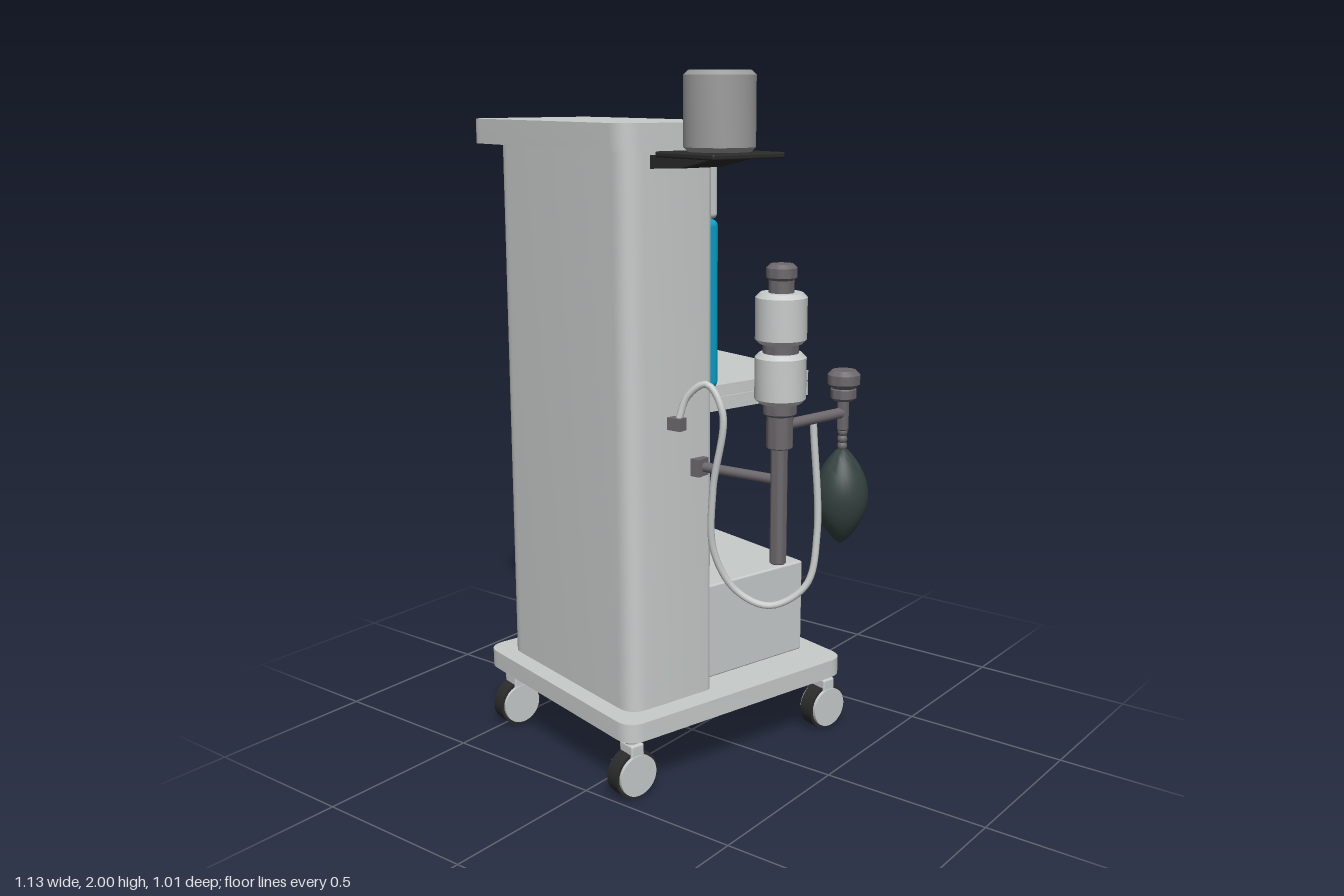
import * as THREE from 'three';
import { toCreasedNormals } from 'three/addons/utils/BufferGeometryUtils.js';
import { RoundedBoxGeometry } from 'three/addons/geometries/RoundedBoxGeometry.js';

const mat = (name, color) => Object.assign(new THREE.MeshStandardMaterial({ color }), { name });

export function createModel() {
  const M = {
    body: mat('light grey casing', 0xc8cccb),
    metal: mat('mid grey metal', 0x9c9c9c),
    pole: mat('dark grey metal', 0x6c686c),
    black: mat('black plastic', 0x2b2b2b),
    cyan: mat('cyan panel', 0x0a9fc8),
    green: mat('dark green rubber', 0x34423f),
  };
  const model = new THREE.Group();
  model.name = 'medicalCart';
  // The cart stands turned a little; its accessories are placed in the outer frame
  const cart = new THREE.Group();
  cart.name = 'cart';
  cart.rotation.y = -0.25;
  model.add(cart);

  const add = (parent, name, geo, material, x = 0, y = 0, z = 0) => {
    const mesh = new THREE.Mesh(geo, material);
    mesh.name = name;
    mesh.position.set(x, y, z);
    parent.add(mesh);
    return mesh;
  };
  // Box from minimum and maximum bounds, optionally rounded
  const box = (parent, name, material, [x0, x1], [y0, y1], [z0, z1], r = 0) => {
    const s = [x1 - x0, y1 - y0, z1 - z0];
    const geo = r ? new RoundedBoxGeometry(...s, 3, r) : new THREE.BoxGeometry(...s);
    return add(parent, name, geo, material, (x0 + x1) / 2, (y0 + y1) / 2, (z0 + z1) / 2);
  };
  // Upright prism with rounded plan corners; points are [x, z, radius]
  const prism = (name, material, pts, y0, y1) => {
    const shape = new THREE.Shape();
    pts.forEach(([x, z, r], i) => {
      const p = new THREE.Vector2(x, -z);
      const toward = (q) => new THREE.Vector2(q[0], -q[1]).sub(p).setLength(r).add(p);
      const a = toward(pts[(i + pts.length - 1) % pts.length]);
      const b = toward(pts[(i + 1) % pts.length]);
      if (i) shape.lineTo(a.x, a.y); else shape.moveTo(a.x, a.y);
      if (r) shape.quadraticCurveTo(p.x, p.y, b.x, b.y);
    });
    shape.closePath();
    const geo = new THREE.ExtrudeGeometry(shape, { depth: y1 - y0, bevelEnabled: false, curveSegments: 8 });
    geo.rotateX(-Math.PI / 2);
    return add(cart, name, toCreasedNormals(geo, 0.6), material, 0, y0, 0);
  };
  const slab = (name, [x0, x1], [y0, y1], [z0, z1], r) =>
    prism(name, M.body, [[x0, z0, r], [x1, z0, r], [x1, z1, r], [x0, z1, r]], y0, y1);
  // Turned part from [radius, y] pairs, sharp at steep angles
  const turned = (parent, name, material, pts, x, z) => {
    const geo = new THREE.LatheGeometry(pts.map(([r, y]) => new THREE.Vector2(r, y)), 32);
    return add(parent, name, toCreasedNormals(geo, 0.6), material, x, 0, z);
  };
  const drum = (parent, name, material, r, y0, y1, x, z, c = 0.008) =>
    turned(parent, name, material, [[0, y0], [r - c, y0], [r, y0 + c], [r, y1 - c], [r - c, y1], [0, y1]], x, z);
  const rod = (parent, name, material, from, to, r) => {
    const a = new THREE.Vector3(...from), b = new THREE.Vector3(...to);
    const mesh = add(parent, name, new THREE.CylinderGeometry(r, r, a.distanceTo(b), 16), material);
    mesh.position.copy(a).add(b).multiplyScalar(0.5);
    mesh.quaternion.setFromUnitVectors(new THREE.Vector3(0, 1, 0), b.sub(a).normalize());
    return mesh;
  };

  // Base, column with a recessed working side, and top
  slab('base', [-0.48, 0.28], [0.185, 0.24], [-0.38, 0.445], 0.06);
  slab('topPlate', [-0.48, 0.28], [1.8, 1.87], [0.035, 0.445], 0.06);
  prism('column', M.body, [
    [-0.425, 0.39, 0.06], [0.215, 0.39, 0.06], [0.215, 0.095, 0.025], [0.18, 0.095, 0.008],
    [0.18, 0.15, 0], [-0.385, 0.15, 0], [-0.385, 0.095, 0.008], [-0.425, 0.095, 0.025],
  ], 0.24, 1.8);

  // Shelf and drawer unit
  slab('shelfTray', [-0.36, 0.155], [1.055, 1.095], [-0.325, 0.15], 0.008);
  slab('shelfTop', [-0.355, 0.15], [1.095, 1.1], [-0.32, 0.15], 0.008);
  slab('shelfLid', [-0.36, 0.155], [1.1, 1.13], [-0.325, 0.15], 0.008);
  box(cart, 'drawerUnit', M.body, [-0.35, 0.15], [0.24, 0.53], [-0.316, 0.15], 0.006);
  box(cart, 'drawerHandleRecess', M.pole, [-0.175, -0.025], [0.32, 0.36], [-0.319, -0.315]);
  box(cart, 'drawerHandle', M.body, [-0.169, -0.031], [0.326, 0.354], [-0.322, -0.318]);

  // Control unit with screen and knobs, and the panel below it
  box(cart, 'controlUnit', M.body, [-0.38, 0.185], [1.605, 1.8], [0.052, 0.16], 0.015);
  box(cart, 'screen', M.cyan, [-0.11, 0.09], [1.625, 1.775], [0.048, 0.054]);
  for (const x of [-0.19, -0.295]) {
    const knob = add(cart, 'knob', new THREE.CylinderGeometry(0.03, 0.03, 0.012, 24), M.metal, x, 1.69, 0.049);
    knob.rotation.x = Math.PI / 2;
  }
  box(cart, 'cyanPanel', M.cyan, [0.0, 0.19], [1.13, 1.605], [0.05, 0.16], 0.02);

  // Canister standing on the shelf
  const cx = -0.258, cz = 0.08;
  drum(cart, 'canisterBody', M.metal, 0.055, 1.13, 1.36, cx, cz);
  drum(cart, 'canisterBand', M.pole, 0.058, 1.355, 1.395, cx, cz, 0.004);
  drum(cart, 'canisterHead', M.metal, 0.055, 1.39, 1.44, cx, cz);
  drum(cart, 'canisterCap', M.green, 0.043, 1.435, 1.465, cx, cz);
  box(cart, 'canisterClamp', M.black, [-0.35, -0.3], [1.29, 1.37], [0.08, 0.15]);

  // Casters
  for (const [x, z] of [[-0.394, -0.342], [0.224, -0.342], [-0.394, 0.394], [0.224, 0.394]]) {
    const caster = new THREE.Group();
    caster.name = 'caster';
    caster.position.set(x, 0, z);
    cart.add(caster);
    const disc = (name, material, r, w) => {
      add(caster, name, new THREE.CylinderGeometry(r, r, w, 32), material, 0, 0.072, 0).rotation.z = Math.PI / 2;
    };
    disc('tyre', M.black, 0.07, 0.046);
    disc('wheelCover', M.body, 0.061, 0.066);
    box(caster, 'casterFork', M.body, [-0.03, 0.03], [0.1, 0.165], [-0.022, 0.022], 0.006);
    drum(caster, 'casterStem', M.metal, 0.02, 0.15, 0.19, 0, 0, 0.002);
  }

  // Side tray on a tapered bracket, carrying a tank
  box(cart, 'sideTray', M.black, [0.297, 0.532], [1.785, 1.8], [0.123, 0.357], 0.005);
  const wedge = new THREE.Shape([[0.19, 1.75], [0.34, 1.757], [0.48, 1.786], [0.19, 1.786]]
    .map(([x, y]) => new THREE.Vector2(x, y)));
  add(cart, 'trayBracket', new THREE.ExtrudeGeometry(wedge, { depth: 0.14, bevelEnabled: false }), M.black, 0, 0, 0.17);
  drum(cart, 'tank', M.metal, 0.092, 1.8, 2, 0.414, 0.24, 0.012);

  // Absorber mast
  const px = 0.435, pz = 0.185;
  drum(model, 'mast', M.pole, 0.023, 0.69, 1.15, px, pz, 0.003);
  drum(model, 'mastCollar', M.pole, 0.036, 1.015, 1.11, px, pz, 0.003);
  drum(model, 'lowerSeat', M.pole, 0.045, 1.105, 1.145, px, pz, 0.006);
  drum(model, 'lowerChamber', M.body, 0.069, 1.14, 1.275, px, pz, 0.012);
  drum(model, 'chamberJoint', M.pole, 0.048, 1.27, 1.305, px, pz, 0.005);
  drum(model, 'upperChamber', M.body, 0.069, 1.3, 1.435, px, pz, 0.012);
  drum(model, 'mastNeck', M.pole, 0.034, 1.43, 1.475, px, pz, 0.005);
  drum(model, 'mastKnob', M.pole, 0.041, 1.465, 1.51, px, pz, 0.01);
  rod(model, 'mastArm', M.pole, [0.16, 0.925, 0.2], [px, 0.925, pz], 0.014);
  box(model, 'armMount', M.pole, [0.165, 0.195], [0.9, 0.95], [0.18, 0.225]);

  // Side arm with valve and breathing bag
  const bx = 0.495, bz = -0.04;
  rod(model, 'sideArm', M.pole, [px, 1.075, pz], [bx, 1.08, bz], 0.015);
  drum(model, 'valveStem', M.pole, 0.016, 1.03, 1.13, bx, bz, 0.003);
  drum(model, 'valveBody', M.pole, 0.036, 1.115, 1.155, bx, bz, 0.008);
  drum(model, 'valveKnob', M.pole, 0.045, 1.15, 1.2, bx, bz, 0.012);
  for (const y of [0.985, 1.005, 1.025]) {
    add(model, 'bagConnectorBead', new THREE.SphereGeometry(0.014, 16, 10), M.pole, bx, y, bz);
  }
  const bag = [];
  for (let i = 0; i <= 20; i++) {
    const t = i / 20;
    bag.push([0.076 * Math.pow(Math.sin(Math.PI * t), 0.75), 0.7 + 0.285 * t]);
  }
  turned(model, 'breathingBag', M.green, bag, bx, bz);

  // Hose looping from the column to the side arm
  const path = new THREE.CatmullRomCurve3([
    [0.17, 1.06, 0.29], [0.19, 1.14, 0.27], [0.24, 1.175, 0.25], [0.29, 1.1, 0.245], [0.258, 0.88, 0.245],
    [0.25, 0.7, 0.23], [0.295, 0.58, 0.185], [0.38, 0.54, 0.14], [0.46, 0.6, 0.08], [0.478, 0.75, 0.055],
    [0.465, 1.07, 0.065],
  ].map((p) => new THREE.Vector3(...p)));
  add(model, 'hose', new THREE.TubeGeometry(path, 90, 0.01, 10), M.body);
  box(model, 'hoseClip', M.pole, [0.145, 0.19], [1.045, 1.08], [0.275, 0.305]);

  return model;
}
